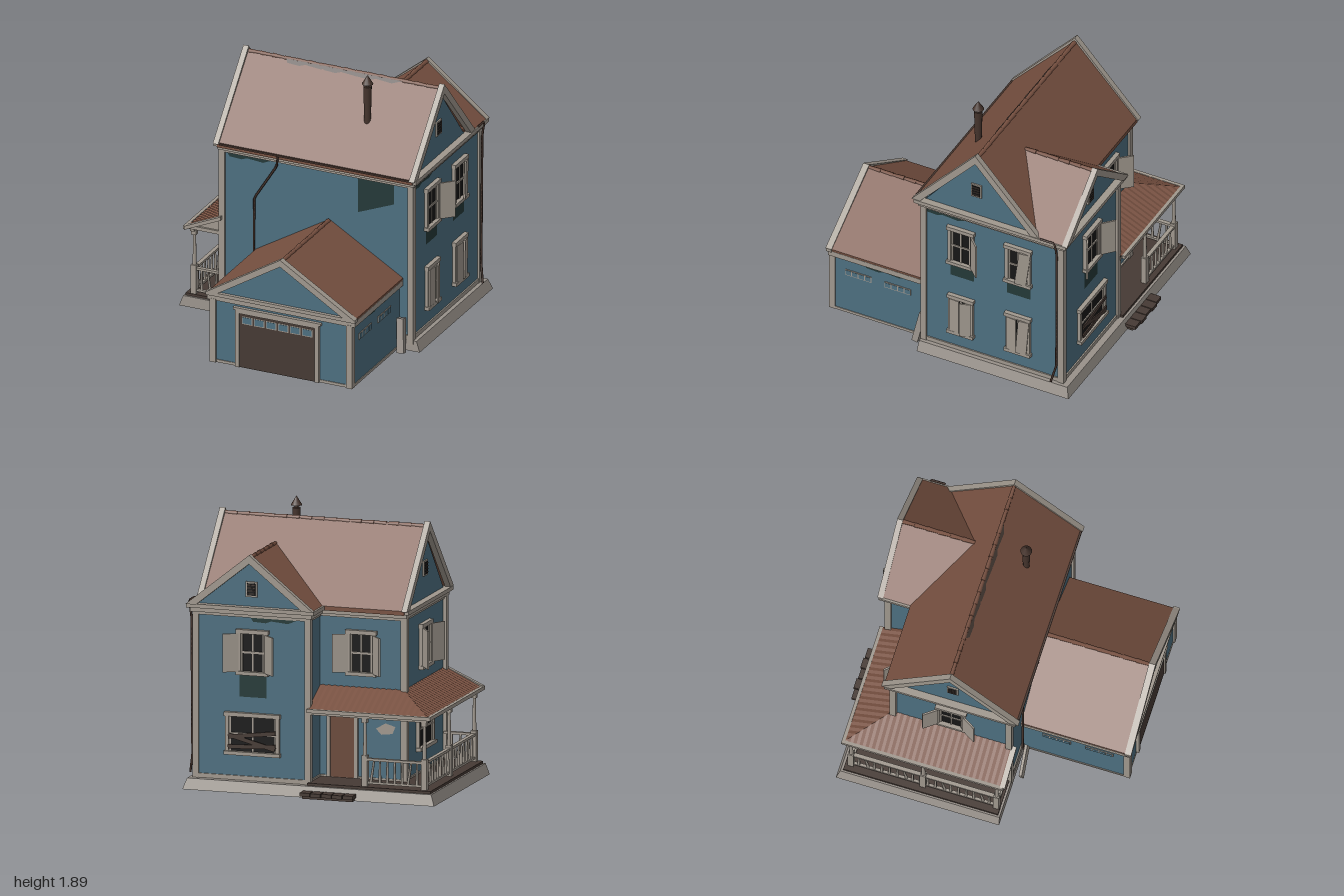
import * as THREE from 'three';

const mat = (name, color, side = THREE.FrontSide) => Object.assign(new THREE.MeshStandardMaterial({ color, side }), { name });
const shapeOf = pts => new THREE.Shape(pts.map(p => new THREE.Vector2(...p)));

export function createModel() {
  const root = new THREE.Group(), R = Math.PI / 2;
  const blue = mat('blue siding', 0x4d6f80), trim = mat('pale trim', 0xa0988e);
  const roofM = mat('terracotta roof', 0x785141, THREE.DoubleSide), stone = mat('stone', 0x98918a);
  const wood = mat('dark wood', 0x463a34), doorM = mat('door brown', 0x6b4a3b), glass = mat('black glass', 0x161616);
  const stain = mat('dark stain', 0x243938), iron = mat('rusty iron', 0x45342d);

  const add = (name, geo, m, parent = root) => {
    const mesh = new THREE.Mesh(geo, m);
    mesh.name = name;
    parent.add(mesh);
    return mesh;
  };
  // box given by its min and max corners
  const box = (name, m, x0, x1, y0, y1, z0, z1, parent = root) => {
    const b = add(name, new THREE.BoxGeometry(x1 - x0, y1 - y0, z1 - z0), m, parent);
    b.position.set((x0 + x1) / 2, (y0 + y1) / 2, (z0 + z1) / 2);
    return b;
  };
  const prism = (name, m, pts, z0, z1, parent) => add(name,
    new THREE.ExtrudeGeometry(shapeOf(pts), { depth: z1 - z0, bevelEnabled: false }).translate(0, 0, z0), m, parent);
  // upright band between two floor outlines given as [x, z]
  const ring = (name, m, outer, inner, y0, y1, parent) => {
    const s = shapeOf(outer.map(([x, z]) => [x, -z]));
    s.holes.push(shapeOf(inner.map(([x, z]) => [x, -z])));
    const g = new THREE.ExtrudeGeometry(s, { depth: y1 - y0, bevelEnabled: false });
    return add(name, g.rotateX(-R).translate(0, y0, 0), m, parent);
  };
  const rect = (x0, x1, z0, z1) => [[x0, z1], [x1, z1], [x1, z0], [x0, z0]];
  const group = (name, x = 0, y = 0, z = 0, ry = 0, parent = root) => {
    const g = new THREE.Group();
    g.name = name;
    g.position.set(x, y, z);
    g.rotation.y = ry;
    parent.add(g);
    return g;
  };
  const chevron = (s, e, a, t) => [[-s, e], [0, a], [s, e], [s, e - t], [0, a - t], [-s, e - t]];
  const barge = (s, e, a, t) => {
    const i = s - t * s / (a - e);
    return [[-s, e], [0, a], [s, e], [i, e], [0, a - t], [-i, e]];
  };
  const ridge = (name, y, z0, z1, parent) => {
    const n = Math.round((z1 - z0) / 0.09);
    for (let i = 0; i < n; i++) {
      const c = add(name, new THREE.CylinderGeometry(0.013, 0.017, (z1 - z0) / n, 6), roofM, parent);
      c.rotation.x = R + (i % 3 - 1) * 0.04;
      c.position.set(0, y, z0 + (i + 0.5) * (z1 - z0) / n);
    }
  };

  // hollow L-shaped walls with their trim bands, grown from one floor plan
  const plan = d => [[-0.6 - d, 0.215 + d], [0.815 + d, 0.215 + d], [0.815 + d, -0.84 - d], [-d, -0.84 - d], [-d, -0.615 - d], [-0.6 - d, -0.615 - d]];
  for (const [name, m, out, inn, y0, y1] of [['walls', blue, 0, -0.012, 0.03, 1.28], ['baseboard', trim, 0.01, -0.002, 0.09, 0.13],
    ['frieze', trim, 0.012, -0.002, 1.225, 1.25], ['eaveBand', trim, 0.028, -0.002, 1.245, 1.28], ['cornice', trim, 0.05, -0.002, 1.275, 1.302]])
    ring(name, m, plan(out), plan(inn), y0, y1);
  box('ceiling', blue, -0.595, 0.81, 1.2, 1.21, -0.61, 0.21);
  box('wingCeiling', blue, 0.005, 0.81, 1.2, 1.21, -0.835, -0.61);

  // main gables and roof, ridge running left to right
  const main = group('mainBlock', 0, 0, -0.2, R);
  for (const z of [-0.6, 0.803]) prism('mainGable', blue, [[-0.415, 1.28], [0.415, 1.28], [0, 1.78]], z, z + 0.012, main);
  prism('mainRoof', roofM, chevron(0.47, 1.302, 1.81, 0.03), -0.62, 0.84, main);
  for (const z of [-0.645, 0.82]) prism('mainBargeboard', trim, barge(0.485, 1.3, 1.835, 0.07), z, z + 0.04, main);
  ridge('ridgeCap', 1.8, -0.6, 0.82, main);

  // rear wing gable; its roof is cut back along the valleys
  const wing = group('rearWing', 0.41);
  prism('wingGable', blue, [[-0.405, 1.28], [0.405, 1.28], [0, 1.62]], -0.84, -0.828, wing);
  const wingRoof = prism('wingRoof', roofM, chevron(0.445, 1.302, 1.65, 0.03), -0.87, -0.33, wing).geometry;
  const wp = wingRoof.attributes.position;
  for (let i = 0; i < wp.count; i++) if (wp.getZ(i) > -0.5) wp.setZ(i, -0.33 - 0.72 * Math.abs(wp.getX(i)));
  wingRoof.computeVertexNormals();
  prism('wingBargeboard', trim, barge(0.455, 1.3, 1.665, 0.06), -0.9, -0.86, wing);
  ridge('wingRidgeCap', 1.645, -0.86, -0.35, wing);

  for (const [x, z] of [[-0.605, 0.21], [0.808, 0.21], [-0.605, -0.61], [0.808, -0.835], [0.006, -0.835]])
    box('cornerBoard', trim, x - 0.022, x + 0.022, 0.05, 1.25, z - 0.022, z + 0.022);

  // hollow garage
  const gar = group('garage', 0.195);
  ring('garageWalls', blue, rect(-0.525, 0.525, 0.2, 0.965), rect(-0.513, 0.513, 0.21, 0.953), 0.03, 0.53, gar);
  ring('garageFoot', trim, rect(-0.53, 0.53, 0.2, 0.97), rect(-0.524, 0.524, 0.21, 0.964), 0.03, 0.05, gar);
  ring('garageEaveBand', trim, rect(-0.552, 0.552, 0.2, 0.978), rect(-0.52, 0.52, 0.21, 0.96), 0.49, 0.53, gar);
  box('garageCeiling', blue, -0.52, 0.52, 0.475, 0.485, 0.2, 0.96, gar);
  prism('garageGable', blue, [[-0.525, 0.53], [0.525, 0.53], [0, 0.85]], 0.953, 0.965, gar);
  prism('garageRoof', roofM, chevron(0.55, 0.545, 0.875, 0.025), 0.2, 0.96, gar);
  prism('garageBargeboard', trim, barge(0.56, 0.545, 0.89, 0.05), 0.95, 0.995, gar);
  ridge('garageRidgeCap', 0.87, 0.23, 0.95, gar);
  box('garageGableBand', trim, -0.56, 0.56, 0.525, 0.55, 0.95, 0.99, gar);
  for (const s of [-0.51, 0.51]) box('garageCorner', trim, s - 0.022, s + 0.022, 0.03, 0.5, 0.935, 0.98, gar);
  box('garageDoor', wood, -0.31, 0.255, 0.03, 0.43, 0.945, 0.976, gar);
  for (const x of [-0.34, 0.255]) box('doorJamb', trim, x, x + 0.03, 0.03, 0.44, 0.96, 0.985, gar);
  box('doorHead', trim, -0.34, 0.285, 0.43, 0.455, 0.96, 0.985, gar);
  box('doorCap', trim, -0.355, 0.3, 0.455, 0.472, 0.96, 0.99, gar);
  for (let i = 0; i < 6; i++) {
    const x = -0.292 + i * 0.09;
    box('doorPaneFrame', trim, x, x + 0.078, 0.355, 0.412, 0.94, 0.979, gar);
    box('doorPane', blue, x + 0.006, x + 0.072, 0.361, 0.406, 0.938, 0.981, gar);
  }
  for (const s of [-0.526, 0.526]) for (const z of [0.36, 0.66]) {
    box('sideWindow', trim, s - 0.004, s + 0.004, 0.348, 0.395, z, z + 0.2, gar);
    for (let i = 0; i < 4; i++)
      box('sidePane', blue, s - 0.006, s + 0.006, 0.354, 0.389, z + 0.006 + i * 0.049, z + 0.047 + i * 0.049, gar);
  }

  // windows: each shutter is [hinge side, swing angle, tilt]
  const windowAt = (name, x, y, z, ry, w, h, shutters = []) => {
    const g = group(name, x, y, z, ry), a = w / 2, b = h / 2;
    box('glass', glass, -a, a, -b, b, -0.01, 0.006, g);
    for (const s of [-1, 1]) {
      box('jamb', trim, s * a - 0.012, s * a + 0.012, -b, b, -0.01, 0.022, g);
      box('sashStile', trim, s * (a - 0.018) - 0.006, s * (a - 0.018) + 0.006, -b, b, 0, 0.012, g);
    }
    box('head', trim, -a - 0.02, a + 0.02, b - 0.01, b + 0.018, -0.01, 0.03, g);
    box('sill', trim, -a - 0.02, a + 0.02, -b - 0.015, -b + 0.01, -0.01, 0.035, g);
    box('meetingRail', trim, -a, a, -0.007, 0.007, 0, 0.014, g);
    box('mullion', trim, -0.005, 0.005, -b, b, 0, 0.012, g);
    for (const [s, swing, tilt = 0] of shutters) {
      const hinge = group('shutterHinge', s * a, 0, 0.026, s * swing, g), sw = swing > 1 ? 0.11 : a * 0.95;
      hinge.rotation.z = tilt;
      box('shutter', trim, s > 0 ? -sw : 0, s > 0 ? 0 : sw, -b + 0.005, b - 0.01, -0.006, 0.006, hinge);
    }
    return g;
  };
  windowAt('rightUpperFrontWindow', 0.816, 0.985, -0.075, R, 0.17, 0.28, [[1, 2.36]]);
  windowAt('rightUpperRearWindow', 0.816, 0.985, -0.51, R, 0.17, 0.28, [[1, 0.25, -0.12]]);
  windowAt('rightLowerFrontWindow', 0.816, 0.4, -0.075, R, 0.16, 0.29, [[-1, 0.06], [1, 0.3]]);
  windowAt('rightLowerRearWindow', 0.816, 0.4, -0.51, R, 0.16, 0.29, [[-1, 0.1], [1, 0.2, -0.07]]);
  windowAt('rearUpperWindow', 0.4, 0.985, -0.841, Math.PI, 0.19, 0.28, [[-1, 2.7], [1, 2.4]]);
  windowAt('porchUpperWindow', -0.3, 0.985, -0.616, Math.PI, 0.18, 0.28, [[-1, 2.8], [1, 2.3]]);
  windowAt('leftUpperWindow', -0.601, 0.985, -0.2, -R, 0.18, 0.28, [[-1, 2.5], [1, 2.6]]);
  windowAt('leftLowerWindow', -0.601, 0.42, -0.2, -R, 0.3, 0.26);
  const wide = windowAt('rearLowerWindow', 0.4, 0.42, -0.841, Math.PI, 0.36, 0.26);
  for (const [y, r] of [[-0.05, -0.25], [0, 0.12], [-0.08, 0.05]])
    box('boardedPlank', wood, -0.17, 0.17, y - 0.014, y + 0.014, 0.025, 0.035, wide).rotation.z = r;

  // porch door
  box('porchDoor', doorM, -0.25, -0.08, 0.12, 0.56, -0.63, -0.605);
  for (const x of [-0.275, -0.08]) box('porchDoorJamb', trim, x, x + 0.025, 0.12, 0.585, -0.637, -0.605);
  box('porchDoorHead', trim, -0.285, -0.045, 0.56, 0.59, -0.64, -0.605);

  // gable vents
  for (const [x, y, z, ry] of [[0.816, 1.51, -0.19, R], [-0.601, 1.51, -0.19, -R], [0.41, 1.42, -0.841, Math.PI]]) {
    const g = group('gableVent', x, y, z, ry);
    box('ventFrame', trim, -0.04, 0.04, -0.053, 0.053, -0.01, 0.01, g);
    box('ventHole', glass, -0.029, 0.029, -0.042, 0.042, 0, 0.013, g);
    for (let i = 0; i < 4; i++) box('ventSlat', wood, -0.029, 0.029, -0.032 + i * 0.02, -0.026 + i * 0.02, 0.01, 0.017, g);
  }

  // weathering patches as thin faces
  const patch = (name, m, pts, x, y, z, ry, rx = 0) => {
    const p = add(name, new THREE.ShapeGeometry(shapeOf(pts)), m);
    p.position.set(x, y, z);
    p.rotation.set(rx, ry, 0);
  };
  const block = [[-0.088, -0.05], [0.088, -0.05], [0.088, 0.05], [-0.088, 0.05]];
  const drip = [[-0.17, 0], [-0.15, -0.03], [-0.06, -0.035], [-0.02, -0.02], [0.1, -0.03], [0.17, 0]];
  patch('wallStain', stain, [[0.41, 0.97], [0.68, 1.08], [0.68, 1.226], [0.41, 1.226]], 0, 0, 0.218, 0);
  for (const z of [-0.08, -0.51]) patch('wallStain', stain, block, 0.818, 0.77, z, R);
  patch('wallStain', stain, block.map(([a, b]) => [a * 1.1, b * 1.5]), 0.4, 0.75, -0.843, Math.PI);
  for (const [x, y, z, ry] of [[0.818, 1.227, 0.05, R], [-0.4, 1.227, 0.218, 0], [0.25, 1.227, -0.843, Math.PI], [0.722, 0.49, 0.55, R]])
    patch('eaveStain', stain, drip, x, y, z, ry);
  for (const x of [-0.15, 0.12, 0.38]) patch('roofStain', wood, drip, x, 1.803, -0.187, 0, -0.745);
  patch('wallScar', trim, [[-0.07, 0], [-0.03, -0.04], [0.05, -0.03], [0.07, 0.02], [0, 0.04]], -0.47, 0.47, -0.618, Math.PI);

  // flared stone foundation
  const fg = ring('foundation', stone, rect(-0.92, 0.88, -0.92, 0.235), rect(-0.84, 0.8, -0.83, 0.2), 0.025, 0.1).geometry;
  const fp = fg.attributes.position;
  for (let i = 0; i < fp.count; i++) if (fp.getY(i) > 0.06) fp.setX(i, fp.getX(i) * 0.97).setZ(i, fp.getZ(i) * 0.975);
  fg.computeVertexNormals();

  // porch deck and steps
  box('porchDeckLeft', wood, -0.88, -0.6, 0.09, 0.118, -0.88, 0.215);
  box('porchDeckRear', wood, -0.6, 0.0, 0.09, 0.118, -0.88, -0.615);
  for (let i = 0; i < 5; i++)
    box('stepPlank', wood, -0.36 + i * 0.077, -0.289 + i * 0.077, 0.045, 0.07, -0.985 - (i % 2) * 0.008, -0.88);
  box('stepRiser', wood, -0.35, 0.01, 0.025, 0.05, -0.96, -0.89);

  // ribbed porch roof: ribs run down each slope and stop at the hip
  const ribbed = (n, at) => {
    const v = [], idx = [];
    for (let k = 0; k <= n; k++) {
      for (const f of [0, 1]) v.push(...at(k / n, f, (k % 2) * 0.006));
      if (k < n) idx.push(2 * k, 2 * k + 2, 2 * k + 1, 2 * k + 1, 2 * k + 2, 2 * k + 3);
    }
    const g = new THREE.BufferGeometry().setAttribute('position', new THREE.Float32BufferAttribute(v, 3));
    g.setIndex(idx);
    const flat = g.toNonIndexed();
    flat.computeVertexNormals();
    add('porchRoof', flat, roofM);
  };
  ribbed(52, (t, f, lift) => {
    const up = f * Math.min(1, t * 1.12 / 0.265);
    return [-0.865 + 0.265 * up, 0.62 + 0.125 * up + lift, -0.88 + 1.12 * t];
  });
  ribbed(40, (t, f, lift) => {
    const up = f * Math.min(1, (1 - t) * 0.865 / 0.265);
    return [-0.865 * t, 0.62 + 0.125 * up + lift, -0.88 + 0.265 * up];
  });
  box('porchCeilingLeft', wood, -0.85, -0.6, 0.608, 0.616, -0.86, 0.22);
  box('porchCeilingRear', wood, -0.6, 0, 0.608, 0.616, -0.86, -0.615);
  box('porchFasciaLeft', trim, -0.882, -0.858, 0.605, 0.63, -0.895, 0.25);
  box('porchFasciaRear', trim, -0.882, 0, 0.605, 0.63, -0.895, -0.872);
  box('porchBeamLeft', trim, -0.845, -0.815, 0.585, 0.61, -0.86, 0.22);
  box('porchBeamRear', trim, -0.845, 0, 0.585, 0.61, -0.86, -0.825);
  box('porchEndBeam', trim, -0.85, -0.6, 0.605, 0.63, 0.2, 0.23);
  prism('porchEndRake', trim, [[-0.87, 0.605], [-0.6, 0.725], [-0.6, 0.752], [-0.87, 0.632]], 0.225, 0.26);
  prism('porchEndGable', trim, [[-0.84, 0.62], [-0.6, 0.62], [-0.6, 0.73]], 0.205, 0.215);

  // porch posts and railings
  for (const [x, z] of [[-0.825, 0.19], [-0.825, -0.33], [-0.825, -0.84], [-0.4, -0.84]]) {
    const p = group('porchPost', x, 0, z);
    box('postBase', trim, -0.02, 0.02, 0.11, 0.33, -0.02, 0.02, p);
    add('postShaft', new THREE.CylinderGeometry(0.01, 0.015, 0.23, 8), trim, p).position.y = 0.445;
    box('postCapital', trim, -0.018, 0.018, 0.555, 0.588, -0.018, 0.018, p);
  }
  for (const [x0, z0, x1, z1] of [[-0.825, 0.19, -0.61, 0.19], [-0.825, -0.84, -0.825, 0.19], [-0.825, -0.84, -0.4, -0.84]]) {
    const L = Math.hypot(x1 - x0, z1 - z0), n = Math.round(L / 0.055);
    const g = group('railing', x0, 0, z0, Math.atan2(z0 - z1, x1 - x0));
    box('topRail', trim, 0, L, 0.295, 0.312, -0.014, 0.014, g);
    box('bottomRail', trim, 0, L, 0.135, 0.15, -0.01, 0.01, g);
    for (let i = 1; i < n; i++) {
      const b = add('baluster', new THREE.CylinderGeometry(0.007, 0.01, 0.15, 6), trim, g);
      b.position.set(i * L / n, 0.222, 0);
      b.rotation.z = i % 5 === 2 ? 0.15 : 0;
    }
  }

  // flue pipe with conical cap
  const flue = group('fluePipe', 0.388, 0, 0.02);
  for (const [name, top, bottom, h, y] of [['pipe', 0.029, 0.022, 0.28, 1.68], ['pipeNeck', 0.014, 0.014, 0.04, 1.83], ['pipeCap', 0, 0.04, 0.065, 1.87]])
    add(name, new THREE.CylinderGeometry(top, bottom, h, 12), iron, flue).position.y = y;

  // gutter and downspouts
  for (const pts of [[[-0.16, 1.3, 0.28], [-0.19, 1.2, 0.235], [-0.36, 0.93, 0.23], [-0.365, 0.1, 0.23], [-0.35, 0.01, 0.25]],
    [[0.868, 1.31, -0.7], [0.868, 1.31, -0.81], [0.85, 1.2, -0.815], [0.845, 0.25, -0.81], [0.87, 0.12, -0.78]]]) {
    const path = new THREE.CurvePath(), v = pts.map(p => new THREE.Vector3(...p));
    for (let i = 1; i < v.length; i++) path.add(new THREE.LineCurve3(v[i - 1], v[i]));
    add('downspout', new THREE.TubeGeometry(path, 40, 0.008, 6), iron);
  }
  box('frontGutter', iron, -0.6, 0.82, 1.294, 1.306, 0.26, 0.28);

  // fallen slab and loose plank
  box('leaningSlab', stone, 0.735, 0.785, 0.025, 0.265, 0.25, 0.295).rotation.set(-0.2, 0, 0.1);
  box('loosePlank', trim, -0.57, -0.35, 0.075, 0.14, 0.26, 0.28).rotation.set(-0.2, 0.08, 0.18);
  return root;
}
